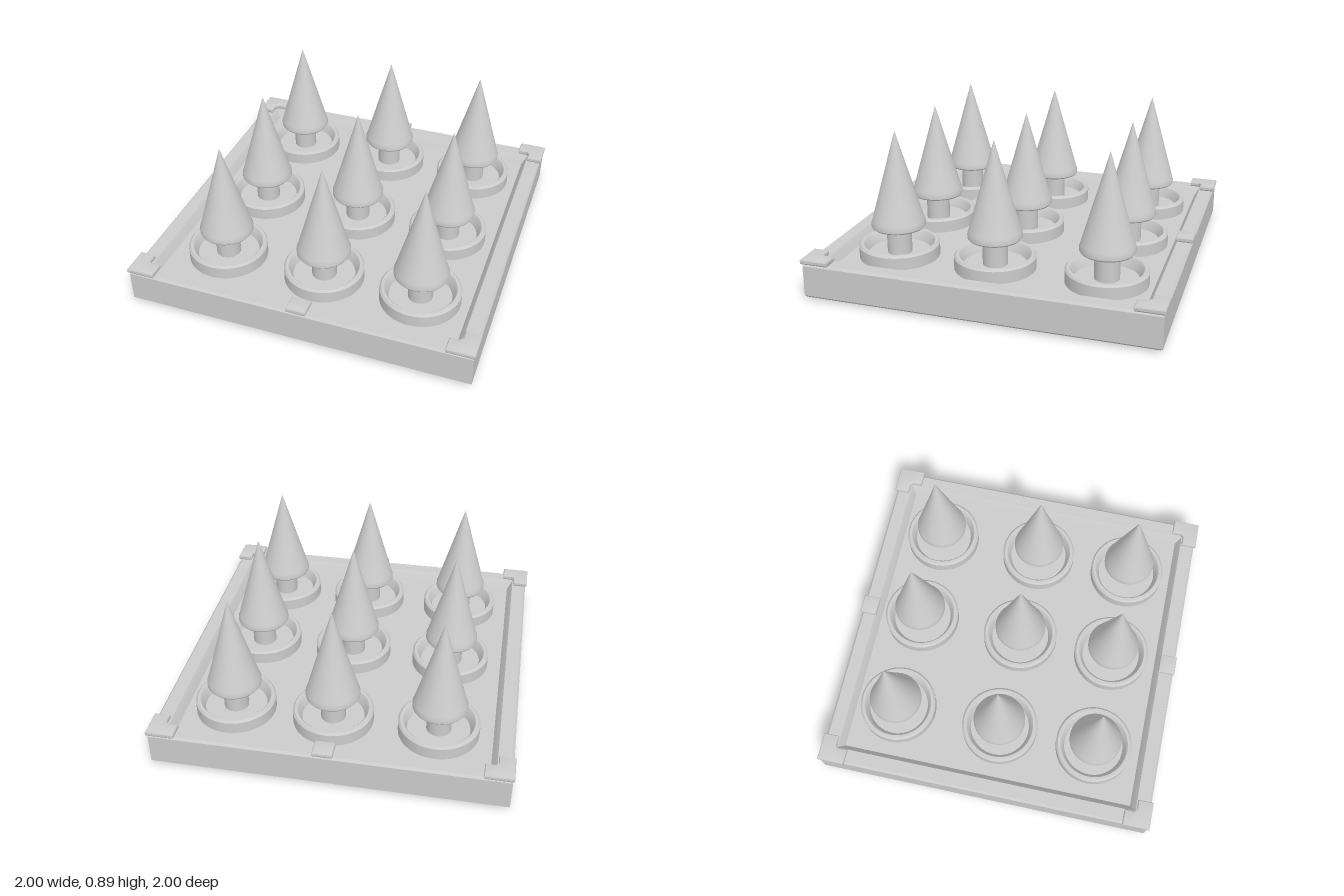
import * as THREE from 'three';
import { toCreasedNormals } from 'three/addons/utils/BufferGeometryUtils.js';

const grey = new THREE.MeshStandardMaterial({ color: 0xcccccc });

function part(name, geometry) {
  const mesh = new THREE.Mesh(geometry, grey);
  mesh.name = name;
  return mesh;
}

// Turned part with crisp edges, from [radius, height] pairs
function turned(points, segments = 48, phi = 0) {
  const profile = points.map(([r, y]) => new THREE.Vector2(r, y));
  return toCreasedNormals(new THREE.LatheGeometry(profile, segments, phi), 0.5);
}

// Flat bevelled plate lying on the rim, from [x, z] outline corners
function plate(outline) {
  const shape = new THREE.Shape(outline.map(([x, z]) => new THREE.Vector2(x, -z)));
  const geometry = new THREE.ExtrudeGeometry(shape, {
    depth: 0.015, bevelThickness: 0.01, bevelSize: 0.014, bevelOffset: -0.014, bevelSegments: 2,
  });
  geometry.rotateX(-Math.PI / 2).translate(0, 0.22, 0);
  return toCreasedNormals(geometry, 0.5);
}

export function createModel() {
  const model = new THREE.Group();
  model.name = 'spikeTrap';

  // Square tray: a four-sided lathe whose profile gives half widths
  const trayProfile = [
    [0, 0.012], [0.98, 0.012], [0.992, 0.024], [0.992, 0.2], [0.98, 0.213],
    [0.905, 0.213], [0.895, 0.2], [0.873, 0.16], [0, 0.16],
  ].map(([w, y]) => [w * Math.SQRT2, y]);
  model.add(part('tray', turned(trayProfile, 4, Math.PI / 4)));

  // L-shaped corner guards
  const cornerShape = plate([
    [1, 1], [0.84, 1], [0.84, 0.91], [0.925, 0.91], [0.91, 0.925], [0.91, 0.84], [1, 0.84],
  ].map(([x, z]) => (x === 0.925 ? [0.893, 0.91] : x === 0.91 && z === 0.925 ? [0.91, 0.893] : [x, z])));
  for (let i = 0; i < 4; i++) {
    const guard = part('cornerGuard', cornerShape);
    guard.rotation.y = i * Math.PI / 2;
    model.add(guard);
  }

  // Clips at the middle of the front and back rims
  const clipShape = plate([[-0.04, -0.05], [-0.04, 0.05], [0.073, 0.05], [0.073, -0.05]]);
  for (const side of [-1, 1]) {
    const clip = part('rimClip', clipShape);
    clip.position.z = side * 0.947;
    model.add(clip);
  }

  // Spike unit: collar dish, through-going stem and cone
  const collar = turned([
    [0.228, 0.15], [0.228, 0.23], [0.217, 0.242], [0.202, 0.242],
    [0.195, 0.235], [0.176, 0.18], [0.06, 0.18],
  ]);
  const stem = turned([[0, 0], [0.075, 0], [0.08, 0.005], [0.08, 0.1], [0.07, 0.11], [0.07, 0.345]], 32);
  const cone = turned([[0, 0.335], [0.146, 0.335], [0.152, 0.343], [0.152, 0.365], [0.146, 0.38], [0, 0.892]]);

  for (const x of [-0.567, 0.03, 0.596]) {
    for (const z of [-0.615, 0.017, 0.594]) {
      const spike = new THREE.Group();
      spike.name = 'spike';
      spike.add(part('collar', collar), part('stem', stem), part('cone', cone));
      spike.position.set(x, 0, z);
      model.add(spike);
    }
  }
  return model;
}
